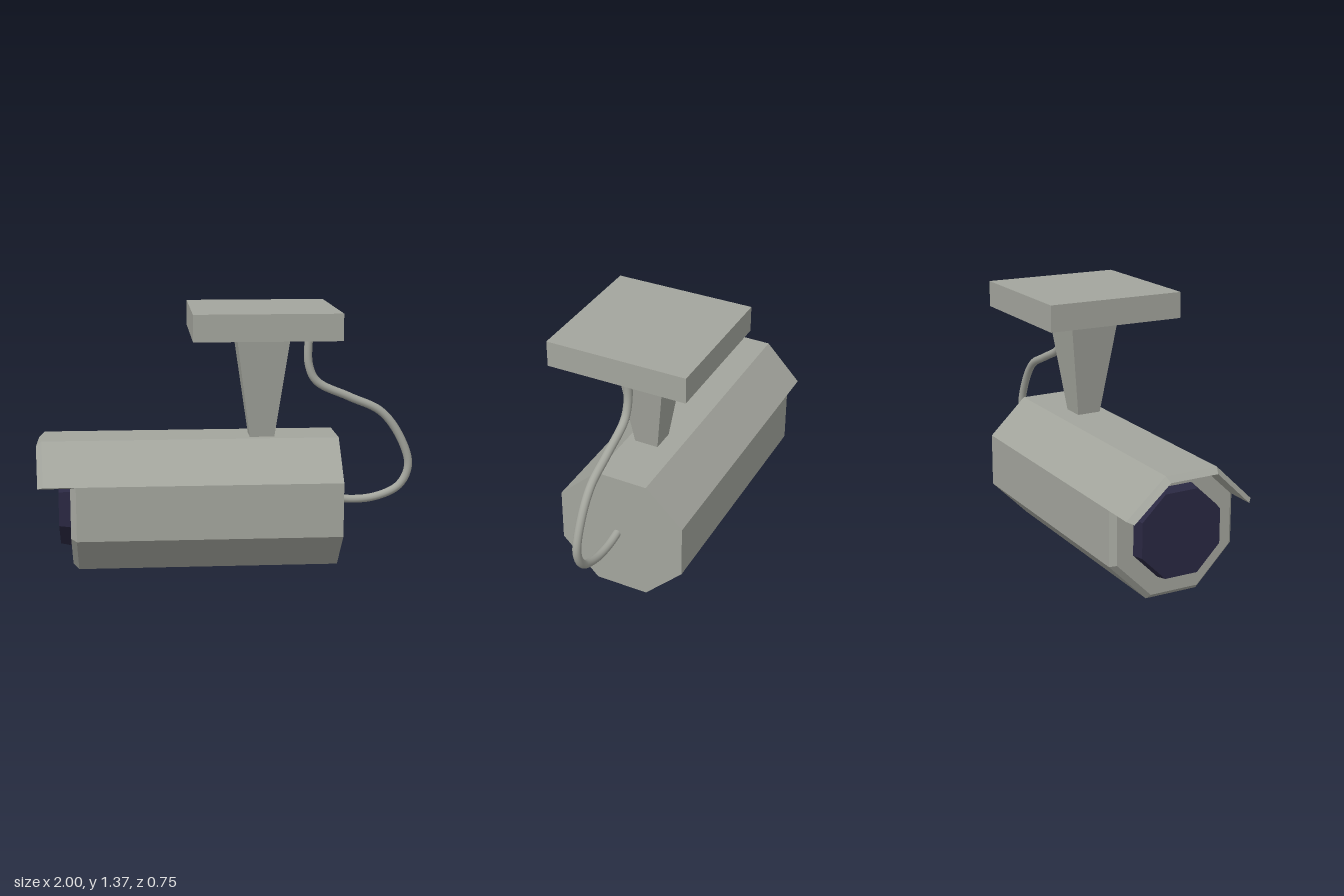
import * as THREE from 'three';

// Octagonal housing section as [z, y]
const SECTION = [
  [0.32, 0.49], [0.11, 0.688], [-0.17, 0.685], [-0.37, 0.49],
  [-0.37, 0.205], [-0.165, 0], [0.12, 0], [0.32, 0.205],
];
const CZ = -0.025, CY = 0.345;

// One section corner, scaled about the housing axis
const corner = (i, x, s) =>
  [x, CY + (SECTION[i][1] - CY) * s, CZ + (SECTION[i][0] - CZ) * s];
const ring = (x, s) => SECTION.map((_, i) => corner(i, x, s));

// Flat-faced solid through eight-point rings listed from low x to high x
function loft(rings) {
  const pos = [];
  const quad = (a, b, c, d) => pos.push(...a, ...b, ...c, ...a, ...c, ...d);
  for (let r = 0; r < rings.length - 1; r++) {
    const p = rings[r], q = rings[r + 1];
    for (let i = 0; i < 8; i++) {
      const j = (i + 1) % 8;
      quad(p[i], q[i], q[j], p[j]);
    }
  }
  const f = rings[0], b = rings[rings.length - 1];
  for (let i = 0; i < 3; i++) {
    quad(f[i], f[i + 1], f[6 - i], f[7 - i]);
    quad(b[7 - i], b[6 - i], b[i + 1], b[i]);
  }
  const geo = new THREE.BufferGeometry();
  geo.setAttribute('position', new THREE.Float32BufferAttribute(pos, 3));
  geo.computeVertexNormals();
  return geo;
}

export function createModel() {
  const model = new THREE.Group();
  model.name = 'securityCamera';

  const grey = new THREE.MeshStandardMaterial({ color: 0xa3a59d });
  grey.name = 'paintedGrey';
  const dark = new THREE.MeshStandardMaterial({ color: 0x2a2842 });
  dark.name = 'darkGlass';

  const add = (name, geo, mat) => {
    const mesh = new THREE.Mesh(geo, mat);
    mesh.name = name;
    model.add(mesh);
    return mesh;
  };

  // Housing with bevelled front rim
  add('housing', loft([ring(-0.82, 0.92), ring(-0.79, 1), ring(0.58, 1)]), grey);

  // Lens
  add('lens', loft([ring(-0.885, 0.63), ring(-0.81, 0.67)]), dark);

  // Rain hood over the top three sides, its front edge bevelled
  const hoodRing = (outerX, innerX) => [
    ...[0, 1, 2, 3].map((i) => corner(i, outerX[i], 1)),
    ...[3, 2, 1, 0].map((i) => corner(i, innerX[i], 0.92)),
  ];
  const back = [-0.79, -0.79, -0.79, -0.79];
  add('hood', loft([
    hoodRing([-0.955, -0.97, -0.97, -0.955], [-0.985, -1, -1, -0.985]),
    hoodRing(back, back),
  ]), grey);

  // Tapered bracket
  const post = new THREE.CylinderGeometry(0.14 * Math.SQRT2, 0.064 * Math.SQRT2, 0.55, 4)
    .rotateY(Math.PI / 4).toNonIndexed();
  post.computeVertexNormals();
  add('bracket', post, grey).position.set(0.18, 0.957, 0);

  // Ceiling plate
  add('ceilingPlate', new THREE.BoxGeometry(0.75, 0.137, 0.746), grey)
    .position.set(0.18, 1.2985, 0);

  // Cable from the plate to the back of the housing
  const path = new THREE.CatmullRomCurve3([
    [0.432, 1.24], [0.432, 1.06], [0.475, 0.97], [0.65, 0.885], [0.82, 0.805],
    [0.925, 0.67], [0.977, 0.51], [0.93, 0.4], [0.81, 0.34], [0.67, 0.325], [0.565, 0.34],
  ].map(([x, y]) => new THREE.Vector3(x, y, 0)));
  add('cable', new THREE.TubeGeometry(path, 64, 0.022, 12), grey);

  return model;
}
